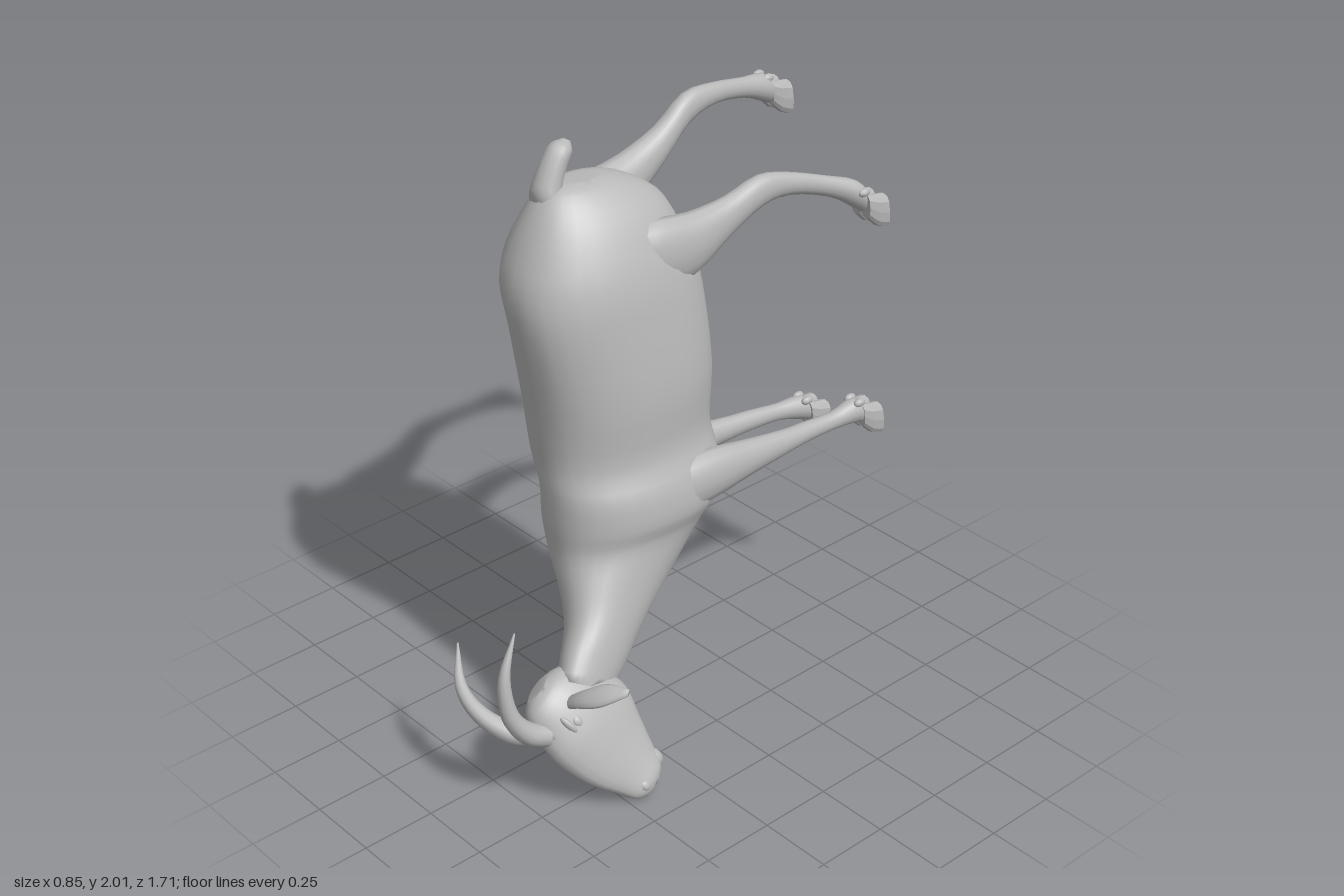
import * as THREE from 'three';
import { mergeVertices } from 'three/addons/utils/BufferGeometryUtils.js';

const V = (x, y, z) => new THREE.Vector3(x, y, z);
const coat = new THREE.MeshStandardMaterial({ color: 0xb8b8b8 });
coat.name = 'grey coat';

// Closed skin through elliptical rings { c: centre, u, v: half axes }, smoothed along its length
function loft(rings, sides = 20, steps = 3, power = 1) {
  const curve = k => new THREE.CatmullRomCurve3(rings.map(r => r[k]), false, 'catmullrom', 0.5);
  const C = curve('c'), U = curve('u'), W = curve('v');
  const n = (rings.length - 1) * steps;
  const pos = [], idx = [];
  const soft = a => Math.sign(a) * Math.abs(a) ** power;
  for (let i = 0; i <= n; i++) {
    const t = i / n, c = C.getPoint(t), u = U.getPoint(t), v = W.getPoint(t);
    for (let j = 0; j < sides; j++) {
      const a = j / sides * Math.PI * 2;
      const p = c.clone().addScaledVector(u, soft(Math.cos(a))).addScaledVector(v, soft(Math.sin(a)));
      pos.push(p.x, p.y, p.z);
    }
  }
  const mid = rings[rings.length >> 1], prev = rings[(rings.length >> 1) - 1];
  const outward = mid.u.clone().cross(mid.v).dot(mid.c.clone().sub(prev.c)) > 0;
  const tri = (a, b, c) => outward ? idx.push(a, b, c) : idx.push(a, c, b);
  for (let i = 0; i < n; i++) for (let j = 0; j < sides; j++) {
    const k = (j + 1) % sides, a = i * sides + j, b = i * sides + k;
    tri(a, b, b + sides);
    tri(a, b + sides, a + sides);
  }
  // end caps
  const last = n * sides;
  for (let j = 1; j < sides - 1; j++) {
    tri(0, j + 1, j);
    tri(last, last + j, last + j + 1);
  }
  let g = new THREE.BufferGeometry();
  g.setAttribute('position', new THREE.Float32BufferAttribute(pos, 3));
  g.setIndex(idx);
  g = mergeVertices(g, 1e-5);
  g.computeVertexNormals();
  return g;
}

// Head frame: across the face, out of the forehead, down to the nose
const across = V(0.853, 0.522, 0).normalize();
const down = V(0.457, -0.732, -0.503).normalize();
const out = across.clone().cross(down).negate().normalize();
if (out.z < 0) out.negate();
const poll = V(0.15, 0.38, 0.58);
const face = (w, b, a) => poll.clone().addScaledVector(across, w).addScaledVector(out, b).addScaledVector(down, a);

export function createModel() {
  const root = new THREE.Group();
  root.name = 'goat';
  const add = (name, geo, parent = root) => {
    const m = new THREE.Mesh(geo, coat);
    m.name = name;
    parent.add(m);
    return m;
  };

  // Body and neck: back y, back z, belly y, belly z, centre x, half width, turn
  const body = [
    [1.875, 0.27, 1.865, 0.10, -0.19, 0.04, 0],
    [1.855, 0.325, 1.84, 0.02, -0.19, 0.09, 0],
    [1.78, 0.385, 1.77, -0.09, -0.18, 0.15, 0],
    [1.68, 0.44, 1.67, -0.15, -0.175, 0.2, 0],
    [1.58, 0.475, 1.57, -0.19, -0.16, 0.22, 0],
    [1.45, 0.475, 1.45, -0.21, -0.13, 0.212, 0],
    [1.2, 0.435, 1.2, -0.23, -0.118, 0.23, 0],
    [1.0, 0.42, 1.0, -0.215, -0.105, 0.215, 0],
    [0.9, 0.425, 0.88, -0.215, -0.06, 0.212, 0],
    [0.79, 0.43, 0.76, -0.22, -0.048, 0.212, 0.05],
    [0.69, 0.43, 0.65, -0.13, -0.03, 0.18, 0.25],
    [0.6, 0.45, 0.5, 0.05, 0.03, 0.14, 0.45],
    [0.52, 0.485, 0.4, 0.2, 0.085, 0.11, 0.54],
    [0.46, 0.55, 0.31, 0.32, 0.135, 0.088, 0.54],
    [0.4, 0.6, 0.26, 0.42, 0.175, 0.072, 0.54],
  ].map(([ty, tz, by, bz, x, w, turn]) => ({
    c: V(x, (ty + by) / 2, (tz + bz) / 2),
    u: V(Math.cos(turn) * w, Math.sin(turn) * w, 0),
    v: V(0, (ty - by) / 2, (tz - bz) / 2),
  }));
  add('body', loft(body, 28, 3, 0.9));

  // Head: distance down the face, centre depth, half width, half depth
  const head = new THREE.Group();
  head.name = 'head';
  root.add(head);
  const skull = [
    [-0.055, 0.07, 0.03, 0.05], [-0.03, 0.065, 0.058, 0.1], [0.03, 0.05, 0.078, 0.142],
    [0.12, 0.045, 0.083, 0.17], [0.2, 0.042, 0.074, 0.172], [0.29, 0.055, 0.058, 0.142],
    [0.38, 0.06, 0.046, 0.103], [0.435, 0.062, 0.042, 0.08], [0.463, 0.065, 0.025, 0.05],
  ].map(([a, b, w, d]) => ({
    c: face(0, b, a), u: across.clone().multiplyScalar(w), v: out.clone().multiplyScalar(d),
  }));
  add('skull', loft(skull, 22, 3), head);
  const blob = (name, p, size, parent) => {
    const m = add(name, new THREE.SphereGeometry(1, 12, 8), parent);
    m.scale.copy(size);
    m.position.copy(p);
    return m;
  };
  const faceTurn = new THREE.Quaternion().setFromRotationMatrix(
    new THREE.Matrix4().makeBasis(across, out, across.clone().cross(out)));
  blob('chin', face(0, -0.008, 0.415), V(0.03, 0.028, 0.04), head).quaternion.copy(faceTurn);
  for (const s of [-1, 1]) {
    blob('eye', face(s * 0.07, 0.094, 0.085), V(0.014, 0.018, 0.024), head).quaternion.copy(faceTurn);
    blob('brow', face(s * 0.064, 0.122, 0.07), V(0.018, 0.013, 0.04), head).quaternion.copy(faceTurn);
    blob('nostril', face(s * 0.03, 0.095, 0.425), V(0.014, 0.018, 0.022), head).quaternion.copy(faceTurn);
  }

  // Ears: flat leaves
  const ears = [
    [V(0.21, 0.345, 0.62), V(0.28, 0.395, 0.61), V(0.35, 0.43, 0.575), V(0.415, 0.453, 0.53)],
    [V(0.14, 0.295, 0.63), V(0.07, 0.255, 0.62), V(-0.01, 0.22, 0.575), V(-0.075, 0.18, 0.52)],
  ];
  const leaf = [[0.02, 0.018], [0.034, 0.02], [0.044, 0.018], [0.014, 0.007]];
  ears.forEach(path => add('ear', loft(path.map((c, i) => ({
    c, u: V(0.25, -0.6, 0.6).multiplyScalar(leaf[i][0]), v: V(0.1, 0.6, 0.6).multiplyScalar(leaf[i][1]),
  })), 12, 4), head));

  // Horns: curved cones
  const horns = [
    [V(0.18, 0.25, 0.69), V(0.13, 0.265, 0.77), V(0.04, 0.31, 0.82), V(-0.06, 0.365, 0.815), V(-0.16, 0.44, 0.745)],
    [V(0.225, 0.27, 0.69), V(0.215, 0.31, 0.77), V(0.2, 0.4, 0.825), V(0.185, 0.53, 0.828), V(0.168, 0.66, 0.77)],
  ];
  horns.forEach(path => {
    const curve = new THREE.CatmullRomCurve3(path);
    const side = path[4].clone().sub(path[0]).cross(V(0, 0, 1));
    add('horn', loft(path.map((c, i) => {
      const r = [0.04, 0.036, 0.028, 0.019, 0.003][i];
      const t = curve.getTangent(i / 4);
      const u = side.clone().addScaledVector(t, -side.dot(t)).normalize();
      return { c, u: u.clone().multiplyScalar(r), v: t.clone().cross(u).multiplyScalar(r) };
    }), 12, 4), head);
  });

  // Tail
  add('tail', loft([[1.74, 0.28, 0.06], [1.82, 0.3, 0.058], [1.88, 0.29, 0.048], [1.94, 0.262, 0.042], [1.975, 0.235, 0.036], [1.993, 0.212, 0.012]]
    .map(([y, z, r], i) => ({ c: V(-0.205 - 0.001 * i, y, z), u: V(r, 0, 0), v: V(0, 0.5 * r, 0.85 * r) })), 12, 3));

  // Legs: x, y, z, half width in x, half depth in y
  const legs = {
    leftHindLeg: [[-0.08, 1.62, 0.22, 0.05, 0.09], [-0.03, 1.615, 0.06, 0.065, 0.125], [-0.012, 1.615, -0.1, 0.055, 0.11],
      [-0.005, 1.665, -0.25, 0.042, 0.07], [0.003, 1.715, -0.38, 0.036, 0.055], [0.015, 1.71, -0.5, 0.028, 0.039],
      [0.045, 1.665, -0.65, 0.027, 0.036], [0.07, 1.615, -0.75, 0.042, 0.05], [0.083, 1.565, -0.8, 0.038, 0.04]],
    rightHindLeg: [[-0.26, 1.65, 0.22, 0.05, 0.09], [-0.315, 1.67, 0.06, 0.068, 0.12], [-0.325, 1.715, -0.1, 0.06, 0.1],
      [-0.325, 1.8, -0.25, 0.045, 0.068], [-0.33, 1.89, -0.37, 0.036, 0.055], [-0.34, 1.905, -0.5, 0.028, 0.037],
      [-0.355, 1.88, -0.65, 0.027, 0.035], [-0.365, 1.85, -0.75, 0.042, 0.05], [-0.37, 1.82, -0.8, 0.038, 0.04]],
    leftFrontLeg: [[0.04, 0.83, 0.2, 0.05, 0.07], [0.09, 0.84, 0.06, 0.058, 0.1], [0.108, 0.85, -0.1, 0.055, 0.09],
      [0.108, 0.845, -0.25, 0.045, 0.066], [0.105, 0.835, -0.43, 0.034, 0.043], [0.1, 0.83, -0.53, 0.031, 0.036],
      [0.102, 0.825, -0.65, 0.027, 0.032], [0.105, 0.83, -0.75, 0.04, 0.045], [0.105, 0.8, -0.8, 0.038, 0.04]],
    rightFrontLeg: [[-0.13, 0.8, 0.2, 0.05, 0.07], [-0.18, 0.8, 0.06, 0.05, 0.1], [-0.187, 0.8, -0.1, 0.052, 0.09],
      [-0.18, 0.775, -0.25, 0.045, 0.062], [-0.17, 0.765, -0.43, 0.034, 0.042], [-0.165, 0.76, -0.53, 0.031, 0.036],
      [-0.155, 0.75, -0.65, 0.027, 0.032], [-0.145, 0.735, -0.75, 0.04, 0.045], [-0.14, 0.705, -0.8, 0.038, 0.04]],
  };
  for (const [name, path] of Object.entries(legs)) {
    const leg = new THREE.Group();
    leg.name = name;
    root.add(leg);
    add('limb', loft(path.map(([x, y, z, a, b]) => ({ c: V(x, y, z), u: V(a, 0, 0), v: V(0, b, 0) })), 14, 3), leg);
    // cloven hoof and dewclaws
    const [x, y] = path[path.length - 1];
    for (const s of [-1, 1]) {
      const hoof = [[0.022, 0.015, -0.765, 0.021, 0.042], [0.027, -0.007, -0.8, 0.026, 0.056], [0.03, -0.018, -0.842, 0.029, 0.061]];
      const geo = loft(hoof.map(([dx, dy, z, a, b]) => ({
        c: V(x + s * dx, y + dy, z), u: V(a, 0, 0), v: V(0, b, 0.1 * b),
      })), 12, 2, 0.7).toNonIndexed();
      geo.computeVertexNormals();
      add('hoof', geo, leg);
      blob('dewclaw', V(x + s * 0.022, y + 0.066, -0.755), V(0.014, 0.015, 0.024), leg);
    }
  }
  return root;
}
